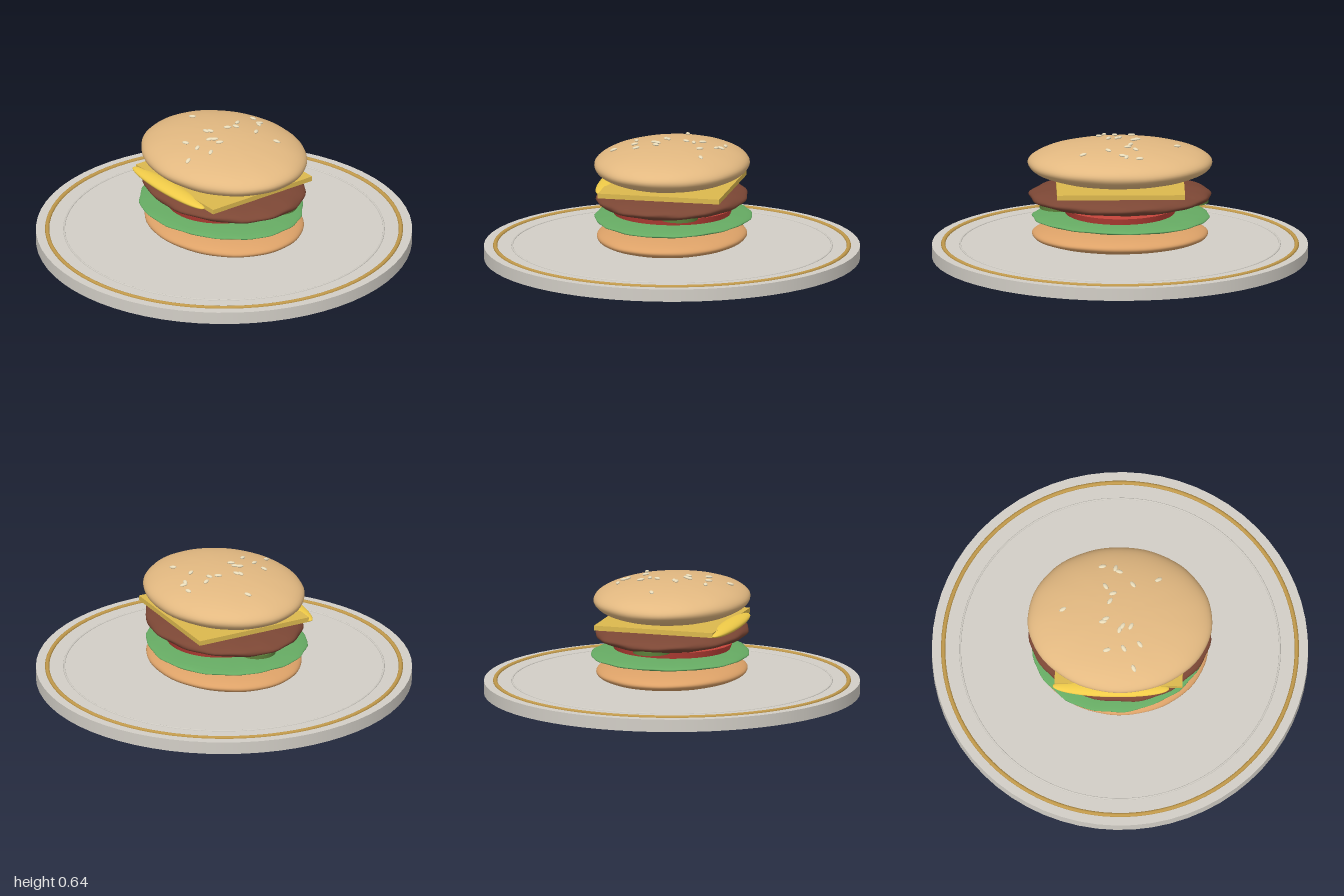
import * as THREE from 'three';

const mat = (color) => new THREE.MeshStandardMaterial({ color });

function add(parent, name, geometry, material, x = 0, y = 0, z = 0) {
  const mesh = new THREE.Mesh(geometry, material);
  mesh.name = name;
  mesh.position.set(x, y, z);
  parent.add(mesh);
  return mesh;
}

// Squashed ball; power above 2 squares the rim, lump roughens it, bulge widens the -x corners
function layer(rx, ry, rz, { power = 2, lump = 0, bulge = 0, waves = 9 } = {}) {
  const geo = new THREE.SphereGeometry(1, 72, 36);
  const p = geo.attributes.position;
  for (let i = 0; i < p.count; i++) {
    const y = THREE.MathUtils.clamp(p.getY(i), -1, 1);
    const ring = Math.hypot(p.getX(i), p.getZ(i));
    const a = Math.atan2(p.getZ(i), p.getX(i));
    const r = ring < 1e-6 ? 0 : Math.pow(Math.max(0, 1 - Math.pow(Math.abs(y), power)), 1 / power);
    const wave = Math.sin(a * waves + y * 3) * Math.cos(a * 4 - y * 5);
    const k = r * (1 + lump * wave - bulge * Math.cos(a) * Math.sin(a) ** 2);
    p.setXYZ(i, rx * k * Math.cos(a), ry * y * (1 + lump * wave * ring), rz * k * Math.sin(a));
  }
  geo.computeVertexNormals();
  // Keep shading continuous across the sphere's seam
  const n = geo.attributes.normal;
  for (let j = 0; j <= 36; j++) {
    const s = j * 73, e = s + 72;
    const v = new THREE.Vector3().fromBufferAttribute(n, s)
      .add(new THREE.Vector3().fromBufferAttribute(n, e)).normalize();
    n.setXYZ(s, v.x, v.y, v.z);
    n.setXYZ(e, v.x, v.y, v.z);
  }
  return geo;
}

function ring(parent, name, radius, tube, y, material) {
  add(parent, name, new THREE.TorusGeometry(radius, tube, 8, 96), material, 0, y).rotation.x = Math.PI / 2;
}

export function createModel() {
  const model = new THREE.Group();
  model.name = 'burgerOnPlate';

  // Plate with gold trim and a fine inner ring
  const plate = new THREE.Group();
  plate.name = 'plate';
  model.add(plate);
  const china = mat(0xd2cec6);
  add(plate, 'plateDisc', new THREE.CylinderGeometry(1, 1, 0.067, 64), china, 0, 0.0335);
  ring(plate, 'goldTrim', 0.94, 0.012, 0.066, mat(0xc29a4b));
  ring(plate, 'innerRing', 0.85, 0.005, 0.067, china);

  // Stacked fillings between the buns
  const burger = new THREE.Group();
  burger.name = 'burger';
  model.add(burger);
  add(burger, 'bottomBun', layer(0.468, 0.065, 0.396, { power: 2.1, lump: 0.004 }), mat(0xdda268), 0, 0.128);
  add(burger, 'lettuce', layer(0.47, 0.032, 0.415, { lump: 0.012, bulge: 0.08, waves: 14 }), mat(0x66ab63), -0.004, 0.222);

  const tomato = add(burger, 'tomato', new THREE.CylinderGeometry(1, 0.96, 0.034, 48), mat(0xc5443a), 0, 0.264);
  tomato.scale.set(0.305, 1, 0.325);

  add(burger, 'patty', layer(0.483, 0.064, 0.398, { power: 2.1, lump: 0.015, waves: 11 }), mat(0x7c4735), 0, 0.337);

  // Pickle slices peeping out under the patty
  const pickleMat = mat(0x5b7f3a);
  for (const [x, z] of [[-0.37, 0], [0.33, -0.11]]) {
    add(burger, 'pickle', new THREE.CylinderGeometry(0.1, 0.1, 0.02, 28), pickleMat, x, 0.305, z);
  }

  add(burger, 'cheese', new THREE.BoxGeometry(0.68, 0.026, 0.66), mat(0xdcb84e), 0, 0.4);
  add(burger, 'sauce', layer(0.31, 0.025, 0.055), mat(0xf0cb48), -0.04, 0.395, 0.338);

  // Top bun
  const [bx, by, bz, cy] = [0.491, 0.111, 0.41, 0.515];
  add(burger, 'topBun', layer(bx, by, bz, { lump: 0.004 }), mat(0xe3b981), 0, cy);

  // Sesame seeds as [x, z, turn], resting on the top bun
  const seeds = [
    [-0.1, -0.27, 0.2], [-0.03, -0.26, 1.3], [-0.01, -0.24, -0.3], [0.2, -0.2, 0.5], [-0.08, -0.15, -1],
    [0.065, -0.165, -0.9], [-0.04, -0.11, 0.3], [-0.055, -0.065, 1], [-0.305, -0.02, 0.5],
    [-0.075, 0.035, 0.4], [-0.09, 0.052, 0.1], [0.015, 0.075, 1], [0, 0.095, 1.3], [0.06, 0.075, 1.1],
    [-0.065, 0.207, 0.3], [0.025, 0.197, -1], [0.11, 0.172, -0.9], [0.08, 0.3, -1.1],
  ];
  const seedGeo = new THREE.SphereGeometry(1, 14, 10).scale(0.021, 0.007, 0.011);
  const seedMat = mat(0xe9dcba);
  const up = new THREE.Vector3(0, 1, 0);
  for (const [x, z, turn] of seeds) {
    const h = by * Math.sqrt(1 - (x / bx) ** 2 - (z / bz) ** 2);
    const seed = add(burger, 'sesameSeed', seedGeo, seedMat, x, cy + h + 0.005, z);
    const normal = new THREE.Vector3(x / bx ** 2, h / by ** 2, z / bz ** 2).normalize();
    seed.quaternion.setFromUnitVectors(up, normal)
      .multiply(new THREE.Quaternion().setFromAxisAngle(up, turn));
  }
  return model;
}
